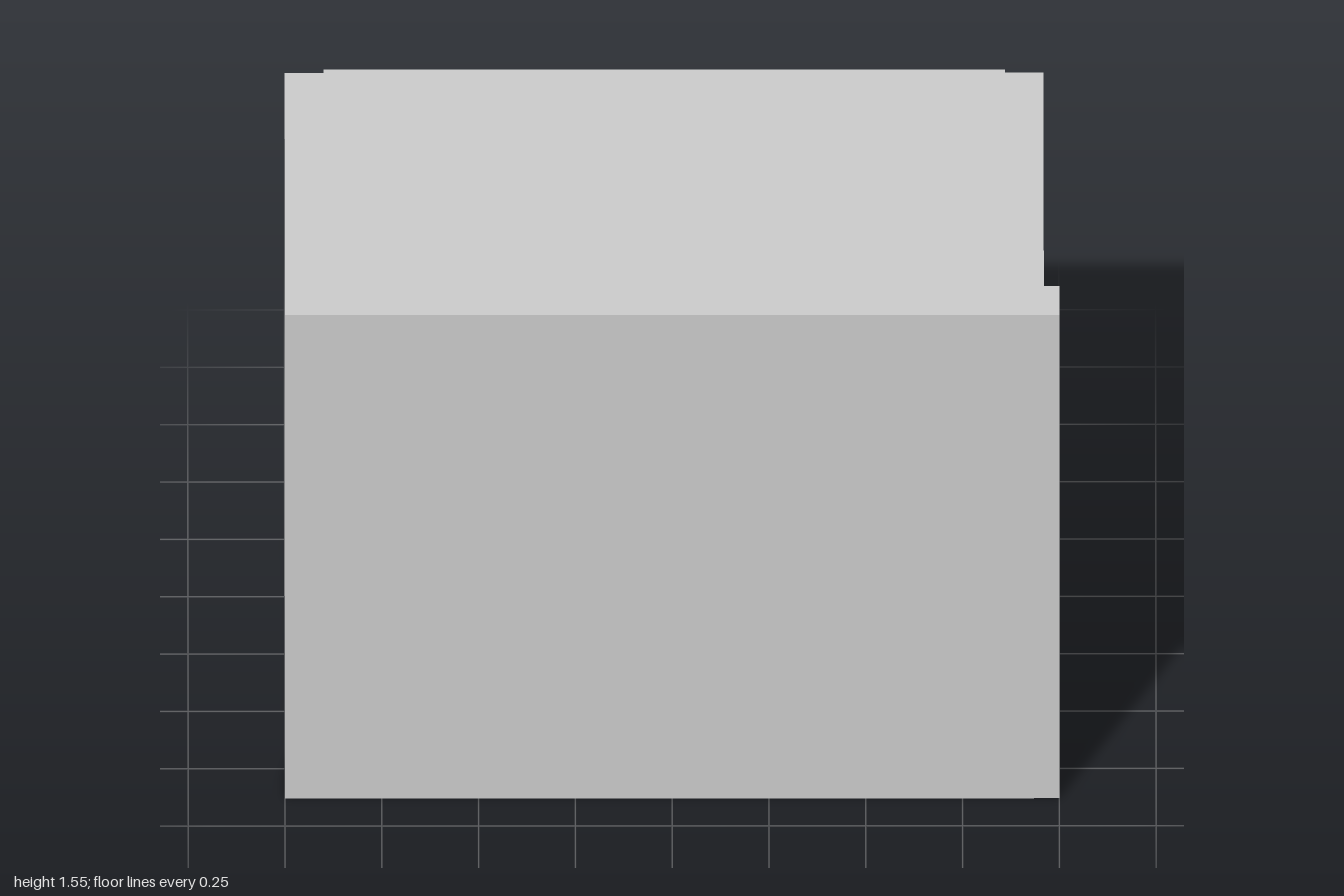
import * as THREE from 'three';

export function createModel() {
  const group = new THREE.Group();
  const gray = new THREE.MeshStandardMaterial({ color: 0xcccccc });

  const add = (name, geometry) => {
    const mesh = new THREE.Mesh(geometry, gray);
    mesh.name = name;
    group.add(mesh);
    return mesh;
  };
  const extrude = (shape, depth) => new THREE.ExtrudeGeometry(shape, { depth, bevelEnabled: false });
  const polygon = (pts) => new THREE.Shape(pts.map(([a, b]) => new THREE.Vector2(a, b)));
  const rect = (x0, x1, y0, y1) => [[x0, y0], [x1, y0], [x1, y1], [x0, y1]];

  // Box given by its limits
  const block = (name, x0, x1, y0, y1, z0, z1) =>
    add(name, new THREE.BoxGeometry(x1 - x0, y1 - y0, z1 - z0)
      .translate((x0 + x1) / 2, (y0 + y1) / 2, (z0 + z1) / 2));

  // Side profile of [z, y] points, extruded along x
  const alongX = (pts, x0, x1) =>
    extrude(polygon(pts.map(([z, y]) => [-z, y])), x1 - x0).rotateY(Math.PI / 2).translate(x0, 0, 0);

  // Plan of [x, z] points, extruded along y
  const alongY = (pts, y0, y1) =>
    extrude(polygon(pts.map(([x, z]) => [x, -z])), y1 - y0).rotateX(-Math.PI / 2).translate(0, y0, 0);

  // Plate with the back window cut through it
  const windowPlate = (name, outer, z0, z1) => {
    const shape = polygon(rect(...outer));
    shape.holes.push(new THREE.Path(rect(-0.77, 0.74, 0.29, 1.28).map(([x, y]) => new THREE.Vector2(x, y))));
    add(name, extrude(shape, z1 - z0).translate(0, 0, z0));
  };

  // Front slab
  block('frontPanel', -1, 1, 0, 1.55, 0.505, 0.63);

  // Casing: floor, back and roof around a cavity open at the +x side
  add('casing', alongX([
    [0.46, 0.045], [-0.46, 0.045], [-0.46, 1.51], [0.46, 1.51],
    [0.46, 1.38], [-0.32, 1.38], [-0.35, 1.28], [-0.35, 0.18], [0.46, 0.17],
  ], -0.87, 0.96));
  add('closedSideWall', alongX([
    [0.505, 0], [0.46, 0.045], [-0.46, 0.045], [-0.46, 1.51], [0.46, 1.51], [0.505, 1.55],
  ], -1, -0.87));

  // Chamfered strips that flare out to the front slab
  const flare = (name, pts) => {
    const geometry = alongX(pts, -0.87, 0.96);
    const p = geometry.attributes.position;
    for (let i = 0; i < p.count; i++) {
      if (p.getX(i) > 0.9 && p.getZ(i) > 0.5) p.setX(i, 1);
    }
    geometry.computeVertexNormals();
    add(name, geometry);
  };
  flare('topChamfer', [[0.46, 1.38], [0.46, 1.51], [0.505, 1.55], [0.505, 1.33]]);
  flare('bottomChamfer', [[0.46, 0.17], [0.46, 0.045], [0.505, 0], [0.505, 0.17]]);

  // Back face and the raised frame around the recessed window
  windowPlate('backPlate', [-1, 0.96, 0.045, 1.51], -0.48, -0.46);
  windowPlate('backFrame', [-0.9, 0.86, 0.14, 1.41], -0.63, -0.48);

  // Small corner wedges
  add('frameWedge', alongY([[0.86, -0.51], [0.86, -0.48], [0.96, -0.48]], 0.18, 0.29));
  add('cavityWedge', alongY([[-0.87, 0.46], [-0.87, 0.505], [-0.82, 0.505]], 0.78, 1.33));
  add('windowWedge', alongY([[-0.77, -0.54], [-0.77, -0.46], [-0.72, -0.46]], 0.76, 1.28));

  return group;
}
